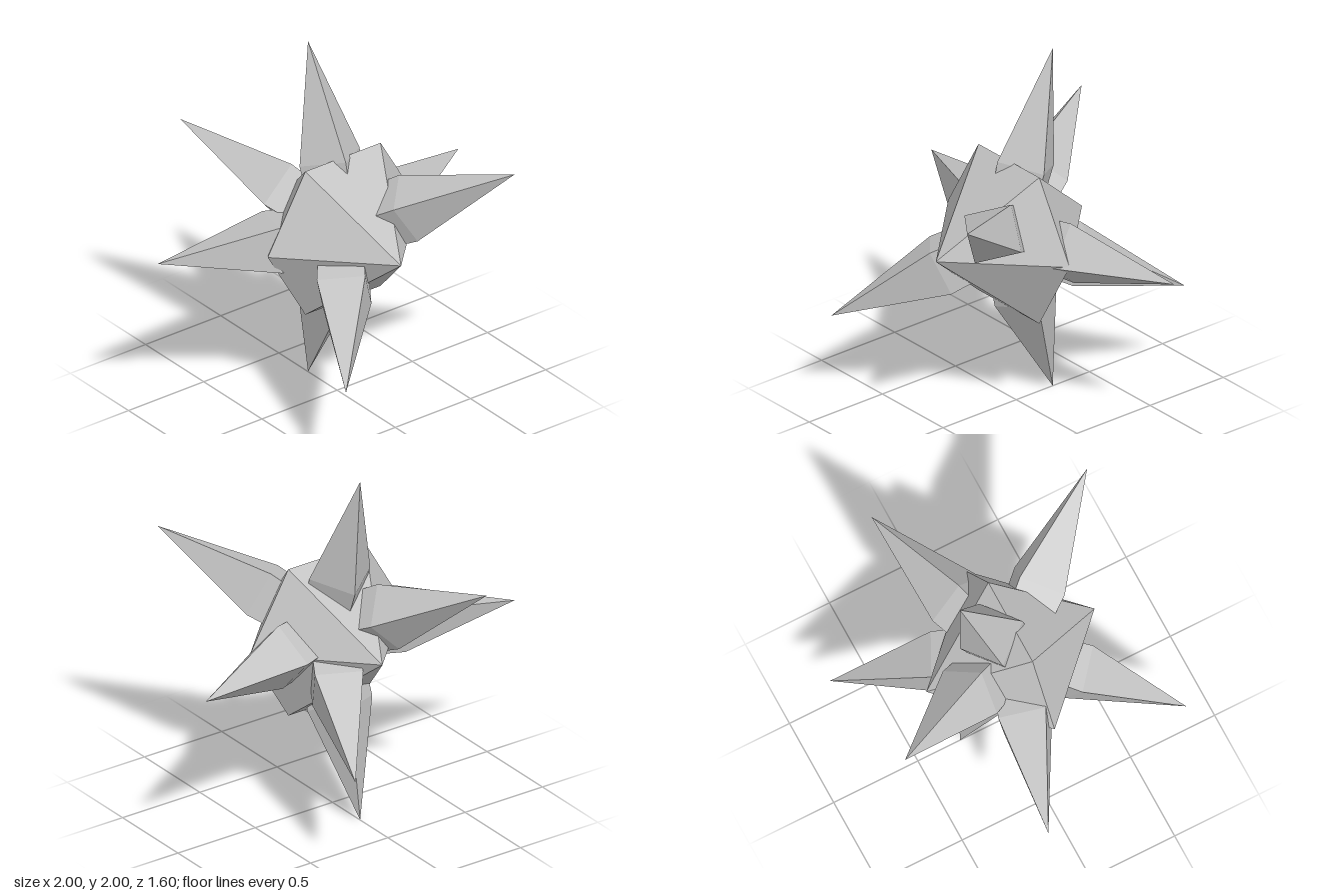
import * as THREE from 'three';

const CENTER = new THREE.Vector3(0, 1, 0.05);

// Each spike: name, tip position, direction of one of its four ridges
const SPIKES = [
  ['topSpike', [0, 2, -0.25], [1, 0, 0.15]],
  ['bottomSpike', [0, 0, -0.25], [-0.3, 0, 1]],
  ['leftSpike', [1, 1, -0.25], [0, 1, 0.08]],
  ['rightSpike', [-1, 1, -0.25], [0, -0.6, 0.8]],
  ['frontUpperSpike', [0.56, 1.47, 0.8], [0.17, -0.08, -0.077]],
  ['frontLowerSpike', [-0.56, 0.54, 0.8], [0.06, 0.155, 0.14]],
  ['backUpperSpike', [-0.425, 1.43, -0.8], [0.145, 0.016, -0.065]],
  ['backLowerSpike', [0.425, 0.58, -0.8], [-0.09, 0.12, -0.105]],
];

// Four-sided spike from the core centre: short flaring root, then a long point
function makeSpike(name, tip, ridge, material) {
  const axis = new THREE.Vector3(...tip).sub(CENTER);
  const length = axis.length();
  axis.normalize();
  const profile = [[0, 0], [0.155, 0.02], [0.182, 0.4], [0, length]]
    .map(([r, y]) => new THREE.Vector2(r, y));
  const mesh = new THREE.Mesh(new THREE.LatheGeometry(profile, 4), material);
  const z = new THREE.Vector3(...ridge).projectOnPlane(axis).normalize();
  const x = new THREE.Vector3().crossVectors(axis, z);
  mesh.quaternion.setFromRotationMatrix(new THREE.Matrix4().makeBasis(x, axis, z));
  mesh.position.copy(CENTER);
  mesh.name = name;
  return mesh;
}

export function createModel() {
  const group = new THREE.Group();
  group.name = 'spikedStar';
  const grey = new THREE.MeshStandardMaterial({ color: 0xc0c0c0, flatShading: true });
  grey.name = 'light grey';

  // Six-sided double pyramid with its points facing front and back
  const core = new THREE.Mesh(new THREE.SphereGeometry(0.5, 6, 2).rotateX(Math.PI / 2), grey);
  core.position.copy(CENTER);
  core.name = 'core';
  group.add(core);

  for (const [name, tip, ridge] of SPIKES) group.add(makeSpike(name, tip, ridge, grey));
  return group;
}
